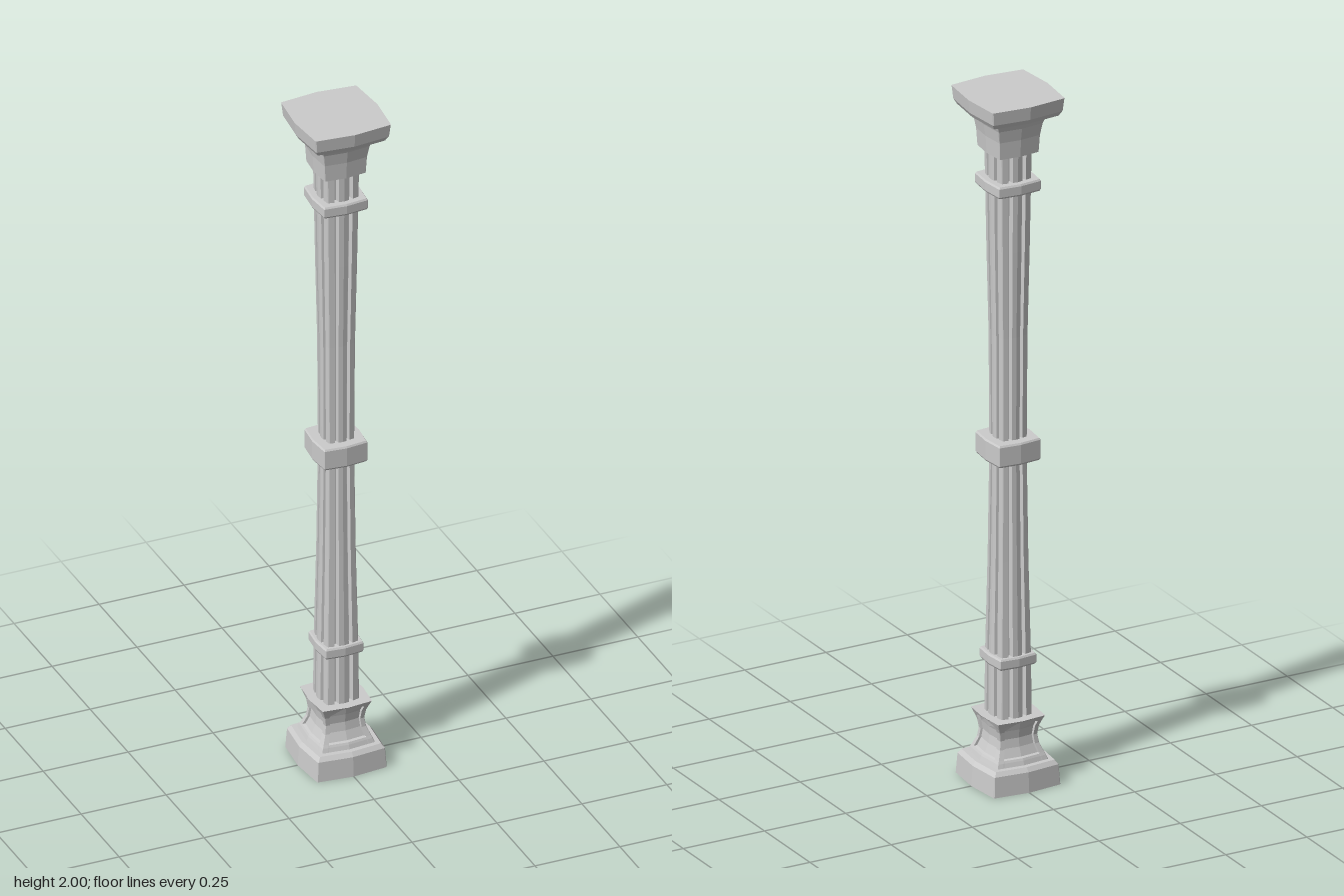
import * as THREE from 'three';

const material = new THREE.MeshStandardMaterial({ color: 0xcccccc, flatShading: true });

// One side of each cross-section, as [along, outward], from one corner to just before the next.
const PLAIN = [[-0.89, 0.91], [0, 1], [0.89, 0.91]];
const FLUTED = [[-0.82, 0.86], [-0.5, 0.92], [-0.42, 0.68], [-0.32, 0.68], [-0.27, 0.96], [0, 1],
  [0.27, 0.96], [0.32, 0.68], [0.42, 0.68], [0.5, 0.92], [0.82, 0.86]];

// Turns one side into a closed ring of four sides, slightly deeper than wide.
function ring(side, half, y) {
  const points = [];
  for (let k = 0; k < 4; k++) {
    const c = Math.cos(k * Math.PI / 2), s = Math.sin(k * Math.PI / 2);
    for (const [u, d, lift = 0] of side) {
      points.push([(u * c + d * s) * half, y + lift, (d * c - u * s) * half * 1.035]);
    }
  }
  return points;
}

// Skins a stack of rings and closes both ends.
function loft(name, rings) {
  const pos = [];
  const n = rings[0].length;
  const tri = (a, b, c) => pos.push(...a, ...b, ...c);
  for (let i = 0; i < rings.length - 1; i++) {
    for (let j = 0; j < n; j++) {
      const k = (j + 1) % n, lo = rings[i], hi = rings[i + 1];
      tri(lo[j], lo[k], hi[k]);
      tri(lo[j], hi[k], hi[j]);
    }
  }
  const first = rings[0], last = rings[rings.length - 1];
  const bottom = [0, first[0][1], 0], top = [0, last[0][1], 0];
  for (let j = 0; j < n; j++) {
    const k = (j + 1) % n;
    tri(bottom, first[k], first[j]);
    tri(top, last[j], last[k]);
  }
  const geometry = new THREE.BufferGeometry();
  geometry.setAttribute('position', new THREE.Float32BufferAttribute(pos, 3));
  geometry.computeVertexNormals();
  const mesh = new THREE.Mesh(geometry, material);
  mesh.name = name;
  return mesh;
}

// Lofts a [y, half width] profile with one section.
const stack = (name, side, profile) => loft(name, profile.map(([y, half]) => ring(side, half, y)));

// Flared pedestal whose four faces hold a sunken panel with a peaked top.
function pedestal() {
  const levels = [[0.065, 0.088, 0], [0.082, 0.082, 0], [0.088, 0.079, 0], [0.09, 0.078, 0.09],
    [0.115, 0.067, 0.09], [0.14, 0.063, 0.09], [0.165, 0.067, 0.09], [0.18, 0.073, 0.09],
    [0.182, 0.074, 0], [0.196, 0.08, 0]];
  return loft('pedestal', levels.map(([y, half, sink], i) => {
    const peak = i === 7 || i === 8 ? 0.009 : 0;
    return ring([[-0.89, 0.91], [-0.7, 0.93], [-0.67, 0.93 - sink], [0, 1 - sink, peak],
      [0.67, 0.93 - sink], [0.7, 0.93], [0.89, 0.91]], half, y);
  }));
}

export function createModel() {
  const group = new THREE.Group();
  group.name = 'column';

  // Foot of the column
  group.add(stack('plinth', PLAIN, [[0, 0.113], [0.058, 0.109], [0.07, 0.1]]));
  group.add(pedestal());

  // Fluted shaft, slimmest around the middle
  group.add(stack('shaft', FLUTED, [[0.15, 0.055], [0.36, 0.053], [0.65, 0.047], [0.97, 0.043],
    [1.3, 0.045], [1.55, 0.05], [1.74, 0.053], [1.86, 0.055]]));

  // Collars round the shaft
  for (const [name, low, high, half] of [['lowerCollar', 0.343, 0.375, 0.061],
    ['middleCollar', 0.938, 1.002, 0.07], ['upperCollar', 1.722, 1.756, 0.071]]) {
    group.add(stack(name, PLAIN, [[low, half - 0.003], [low + 0.005, half],
      [high - 0.005, half], [high, half - 0.003]]));
  }

  // Capital with its top slab
  group.add(stack('capital', PLAIN, [[1.835, 0.066], [1.885, 0.069], [1.92, 0.075], [1.952, 0.087]]));
  group.add(stack('topSlab', PLAIN, [[1.948, 0.11], [1.962, 0.118], [2, 0.122]]));
  return group;
}
